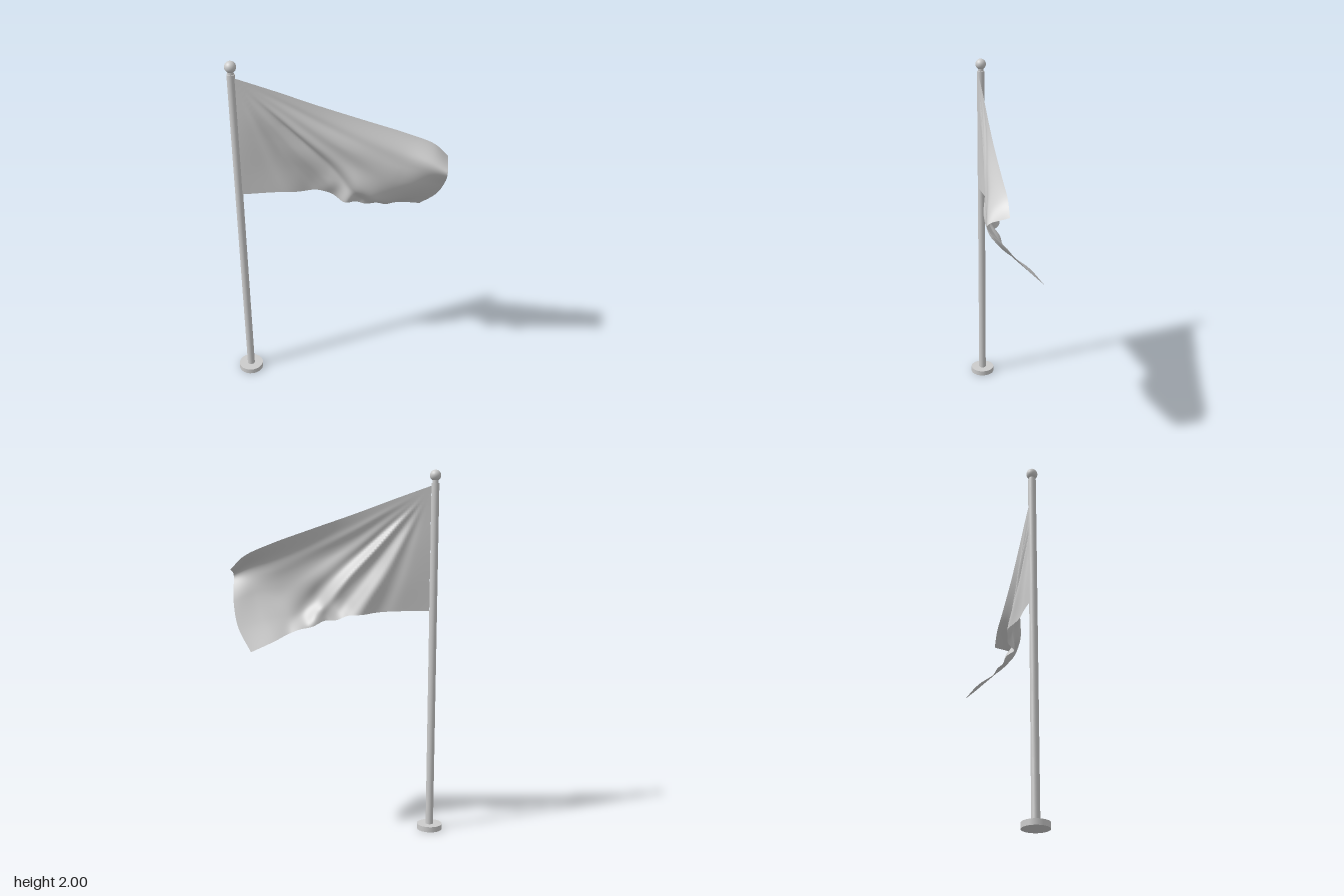
import * as THREE from 'three';

const POLE_X = -0.427, POLE_Z = 0.35;

// Cross-sections of the cloth from hoist to fly, each running top edge to bottom edge
const SECTIONS = [
  [[-0.402, 1.915, 0.35], [-0.402, 1.745, 0.35], [-0.402, 1.575, 0.35], [-0.402, 1.41, 0.35], [-0.402, 1.24, 0.35]],
  [[-0.25, 1.845, 0.225], [-0.24, 1.7, 0.224], [-0.25, 1.55, 0.212], [-0.26, 1.4, 0.205], [-0.25, 1.24, 0.195]],
  [[-0.08, 1.765, 0.09], [-0.07, 1.63, 0.107], [-0.06, 1.48, 0.085], [-0.08, 1.34, 0.052], [-0.1, 1.22, 0.032]],
  [[0.1, 1.685, -0.055], [0.12, 1.56, -0.012], [0.105, 1.42, -0.01], [0.1, 1.28, -0.005], [0.055, 1.175, -0.035]],
  [[0.27, 1.605, -0.2], [0.3, 1.5, -0.135], [0.26, 1.36, -0.112], [0.2, 1.22, -0.125], [0.135, 1.135, -0.175]],
  [[0.375, 1.54, -0.295], [0.415, 1.47, -0.205], [0.37, 1.34, -0.21], [0.275, 1.2, -0.255], [0.155, 1.1, -0.29]],
  [[0.43, 1.47, -0.34], [0.492, 1.43, -0.25], [0.425, 1.3, -0.325], [0.335, 1.17, -0.388], [0.215, 1.05, -0.42]],
];

// Folds fanning out of the top hoist corner: angle, depth, width
const FOLDS = [
  [0.28, -0.01, 0.07], [0.45, 0.006, 0.08], [0.68, 0.012, 0.07],
  [0.82, -0.026, 0.06], [0.97, 0.012, 0.06], [1.12, -0.016, 0.05], [1.25, 0.008, 0.06],
];

const bump = (x, centre, width) => Math.exp(-(((x - centre) / width) ** 2));

// Offset of the cloth: fanned folds plus gathers on the lower edge
function foldOffset(u, v) {
  const angle = Math.atan2(v * 0.68, u * 1.1 + 0.001);
  const reach = Math.min(1, u * 4) * Math.min(1, v * 3) * (1 - u ** 3);
  const fan = FOLDS.reduce((sum, [a, depth, width]) => sum + depth * bump(angle, a, width), 0);
  const gathers = 0.014 * Math.sin(u * 48 + v * 5) * bump(v, 1, 0.2) * bump(u, 0.46, 0.14);
  return fan * reach + gathers;
}

function clothGeometry(nu, nv) {
  const columns = SECTIONS.map(s =>
    new THREE.CatmullRomCurve3(s.map(p => new THREE.Vector3(...p))).getPoints(nv));
  const out = new THREE.Vector3(0.62, 0, 0.78);
  const positions = new Float32Array((nu + 1) * (nv + 1) * 3);
  const index = [];
  for (let j = 0; j <= nv; j++) {
    const row = new THREE.CatmullRomCurve3(columns.map(c => c[j]));
    for (let i = 0; i <= nu; i++) {
      const u = i / nu, v = j / nv;
      const p = row.getPoint(u).addScaledVector(out, foldOffset(u, v));
      p.y += 0.007 * Math.sin(u * 42) * bump(v, 1, 0.12) * bump(u, 0.45, 0.16);
      const a = i * (nv + 1) + j;
      p.toArray(positions, a * 3);
      if (i < nu && j < nv) {
        const b = a + nv + 1;
        index.push(a, a + 1, b, a + 1, b + 1, b);
      }
    }
  }
  const g = new THREE.BufferGeometry();
  g.setAttribute('position', new THREE.BufferAttribute(positions, 3));
  g.setIndex(index);
  g.computeVertexNormals();
  return g;
}

export function createModel() {
  const group = new THREE.Group();
  const grey = new THREE.MeshStandardMaterial({ color: 0xcccccc });
  const cloth = new THREE.MeshStandardMaterial({ color: 0xcccccc, side: THREE.DoubleSide });

  const add = (name, geometry, y) => {
    const mesh = new THREE.Mesh(geometry, grey);
    mesh.name = name;
    mesh.position.set(POLE_X, y, POLE_Z);
    group.add(mesh);
  };

  // Pole with its foot and finial
  add('base', new THREE.CylinderGeometry(0.07, 0.07, 0.03, 20), 0.015);
  add('pole', new THREE.CylinderGeometry(0.021, 0.021, 1.9, 24), 0.98);
  add('finialNeck', new THREE.CylinderGeometry(0.016, 0.016, 0.03, 16), 1.932);
  add('finialBall', new THREE.SphereGeometry(0.03, 24, 16), 1.97);

  // Waving cloth
  const flag = new THREE.Mesh(clothGeometry(110, 60), cloth);
  flag.name = 'flag';
  group.add(flag);

  return group;
}
